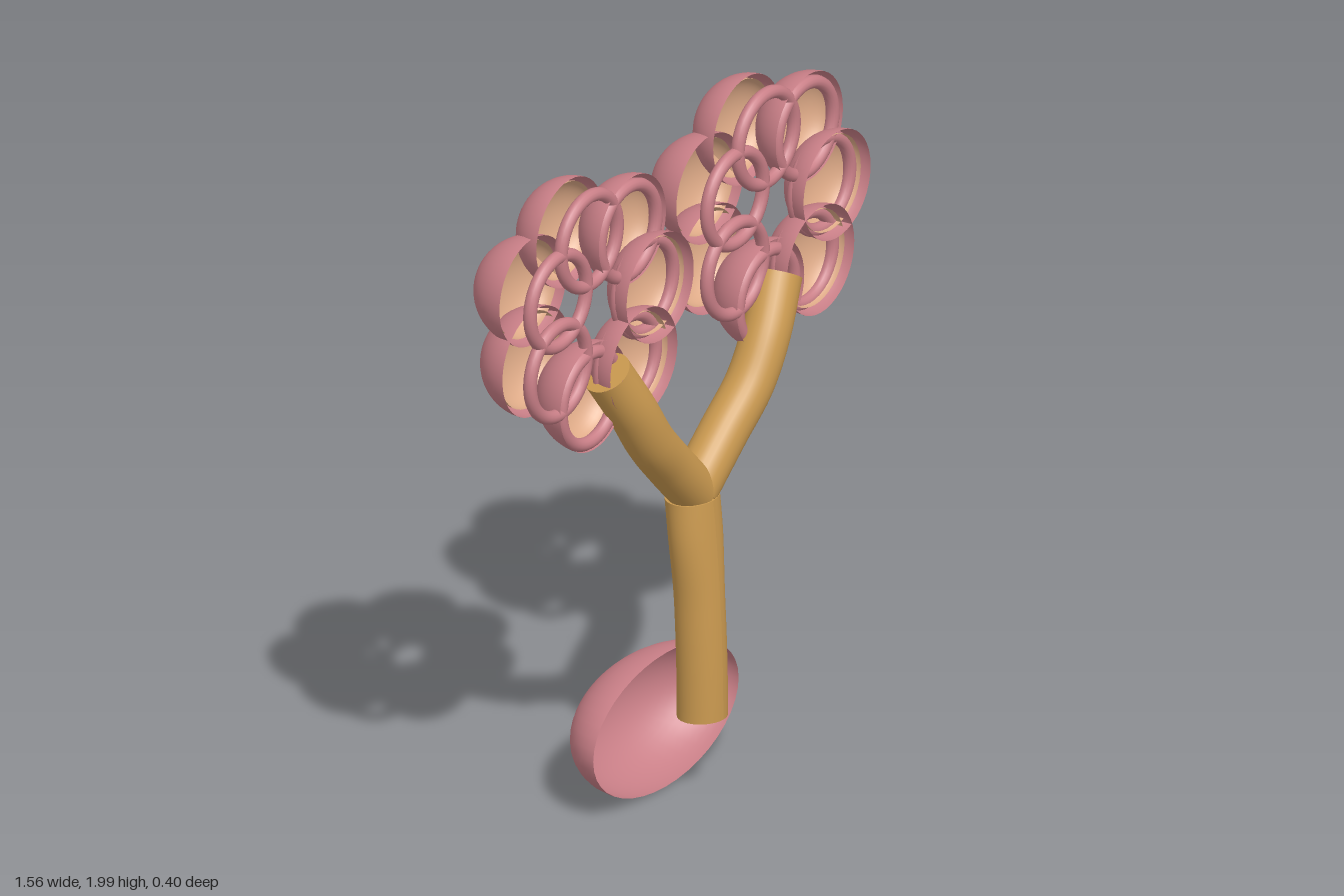
import * as THREE from 'three';

export function createModel() {
  const model = new THREE.Group();
  const mat = (name, color, side = THREE.FrontSide) => {
    const m = new THREE.MeshStandardMaterial({ color, side });
    m.name = name;
    return m;
  };
  const pink = mat('rose pink', 0xc97f87, THREE.DoubleSide);
  const peach = mat('peach lining', 0xdfab88, THREE.DoubleSide);
  const ochre = mat('ochre', 0xcb9a50);

  const add = (parent, name, geo, material, x = 0, y = 0, z = 0) => {
    const mesh = new THREE.Mesh(geo, material);
    mesh.name = name;
    mesh.position.set(x, y, z);
    parent.add(mesh);
    return mesh;
  };

  // Open half-sphere, its mouth towards +z
  const bowl = new THREE.SphereGeometry(1, 40, 16, 0, Math.PI * 2, 0, Math.PI / 2).rotateX(-Math.PI / 2);

  // Base shell
  add(model, 'baseShell', bowl, pink, -0.01, 0.205, 0.01).scale.set(0.342, 0.2, 0.21);

  // Stem: leans back and widens sideways towards the fork
  const stemGeo = new THREE.CylinderGeometry(0.07, 0.07, 0.65, 32, 20);
  const p = stemGeo.attributes.position;
  for (let i = 0; i < p.count; i++) {
    const t = p.getY(i) / 0.65 + 0.5;
    const widen = 1 + 0.23 * THREE.MathUtils.smoothstep(t, 0.5, 0.88);
    p.setX(i, p.getX(i) * widen);
    p.setY(i, p.getY(i) + p.getZ(i) * 0.05 * (1 - t));
    p.setZ(i, p.getZ(i) + 0.132 - 0.034 * t * t);
  }
  stemGeo.computeVertexNormals();
  add(model, 'stem', stemGeo, ochre, -0.01, 0.577, 0);

  // Two curved branches with closed tips
  for (const s of [1, -1]) {
    const branch = new THREE.Group();
    branch.name = s > 0 ? 'leftBranch' : 'rightBranch';
    const path = new THREE.CatmullRomCurve3([
      [0, 0.915, 0.098], [0.13, 1.045, 0.108], [0.235, 1.155, 0.12],
      [0.315, 1.275, 0.118], [0.402, 1.413, 0.095],
    ].map(([x, y, z]) => new THREE.Vector3(s * x, y, z)));
    add(branch, 'branchTube', new THREE.TubeGeometry(path, 40, 0.069, 28), ochre);
    for (const end of [0, 1]) {
      const at = path.getPointAt(end);
      const dir = path.getTangentAt(end).multiplyScalar(end ? 1 : -1);
      const cap = add(branch, 'branchEnd', new THREE.CircleGeometry(0.069, 28), ochre, at.x, at.y, at.z);
      cap.quaternion.setFromUnitVectors(new THREE.Vector3(0, 0, 1), dir);
    }
    branch.position.x = -0.006;
    model.add(branch);
  }

  // Ring of seven cups: x, y, mouth z, depth
  const cups = [
    [-0.060, 1.838, 0.02, 0.142],
    [0.122, 1.800, 0.10, 0.142],
    [0.203, 1.606, 0.135, 0.138],
    [0.122, 1.412, 0.138, 0.145],
    [-0.060, 1.367, 0.10, 0.158],
    [-0.205, 1.502, 0.01, 0.150],
    [-0.205, 1.710, 0.0, 0.165],
  ];
  const ring = new THREE.TorusGeometry(0.132, 0.019, 14, 44);
  for (const s of [1, -1]) {
    const cluster = new THREE.Group();
    cluster.name = s > 0 ? 'leftCluster' : 'rightCluster';
    cluster.position.x = s * 0.416;
    for (const [x, y, z, depth] of cups) {
      add(cluster, 'cup', bowl, pink, x, y, z).scale.set(0.158, 0.158, depth);
      add(cluster, 'cupLining', bowl, peach, x, y, z - 0.02).scale.set(0.14, 0.14, 0.085);
      add(cluster, 'cupRing', ring, pink, x, y - 0.008, 0.084);
    }
    model.add(cluster);
  }
  return model;
}
